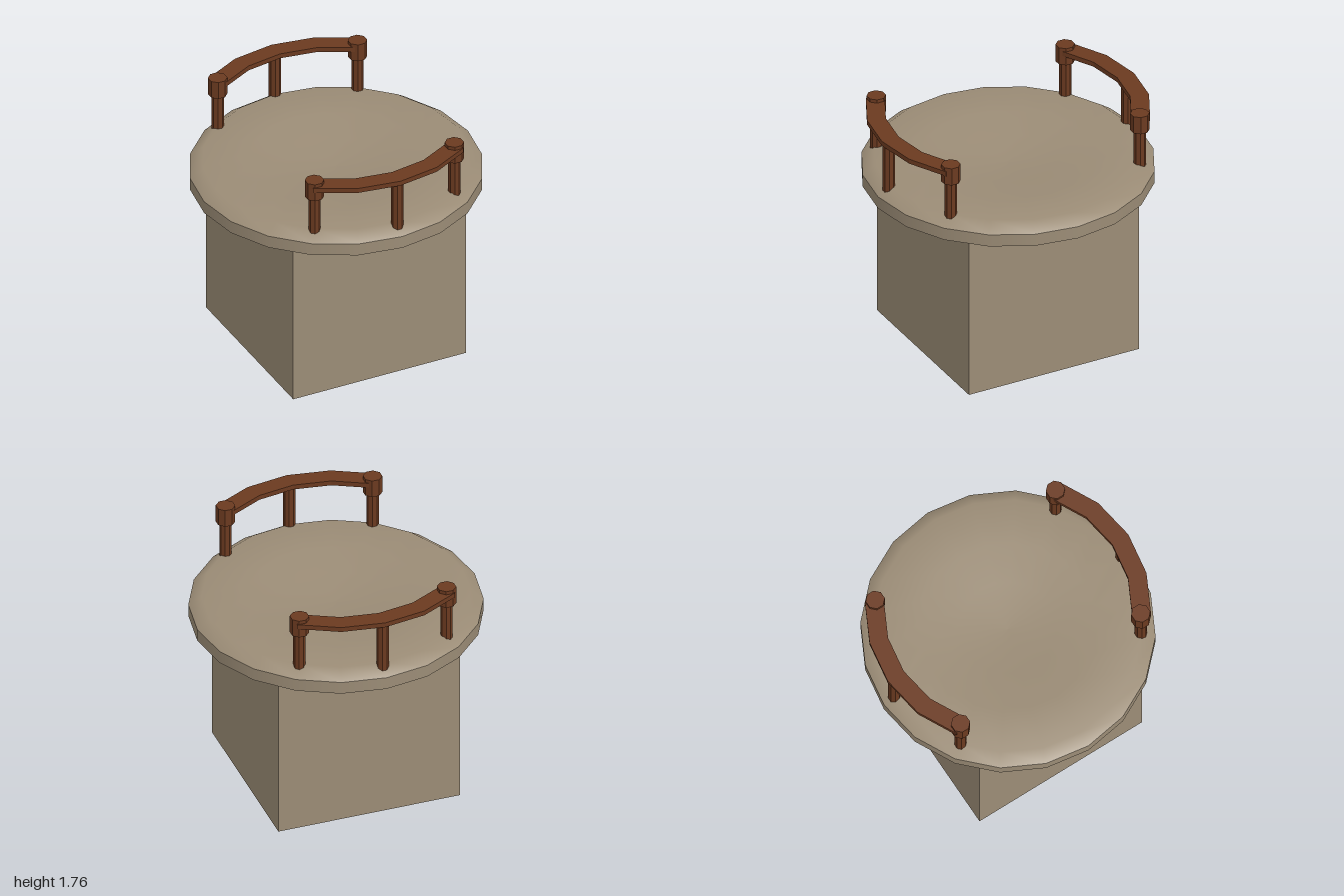
import * as THREE from 'three';

export function createModel() {
  const stone = new THREE.MeshStandardMaterial({ color: 0x9b8c76 });
  stone.name = 'stone';
  const wood = new THREE.MeshStandardMaterial({ color: 0x6b3a20 });
  wood.name = 'wood';

  const model = new THREE.Group();
  model.name = 'railedPlatform';

  const add = (parent, name, geometry, material, x = 0, y = 0, z = 0) => {
    const mesh = new THREE.Mesh(geometry, material);
    mesh.name = name;
    mesh.position.set(x, y, z);
    parent.add(mesh);
    return mesh;
  };
  // Lathe with 20 sides; profile runs from bottom/outside to top/centre
  const lathe = (points) =>
    new THREE.LatheGeometry(points.map(([r, y]) => new THREE.Vector2(r, y)), 20, Math.PI / 2);
  // Faceted prism standing on y0
  const prism = (radius, y0, y1, sides) => {
    const g = new THREE.CylinderGeometry(radius, radius, y1 - y0, sides, 1, false, Math.PI / sides);
    g.translate(0, (y0 + y1) / 2, 0);
    const flat = g.toNonIndexed();
    flat.computeVertexNormals();
    return flat;
  };

  // Square pedestal
  add(model, 'pedestal', new THREE.BoxGeometry(1.31, 1.22, 1.31), stone, 0, 0.61, 0);

  // Round slab: underside, rim wall and dished top, with hard creases between
  add(model, 'slabUnderside', lathe([[0, 1.22], [1, 1.22]]), stone);
  add(model, 'slabRim', lathe([[1, 1.22], [1, 1.31]]), stone);
  add(model, 'slabTop', lathe([
    [1, 1.31], [0.91, 1.375], [0.6, 1.362], [0.33, 1.335], [0.15, 1.317], [0, 1.313],
  ]), stone);

  // Curved handrail: ring sector of four straight segments
  const inner = 0.84, outer = 0.97;
  const angles = [-36, -18, 0, 18, 36].map((a) => THREE.MathUtils.degToRad(a));
  const arc = (r) => angles.map((a) => new THREE.Vector2(r * Math.sin(a), -r * Math.cos(a)));
  const railShape = new THREE.Shape([...arc(outer), ...arc(inner).reverse()]);
  const railGeometry = new THREE.ExtrudeGeometry(railShape, { depth: 0.035, bevelEnabled: false });
  railGeometry.rotateX(-Math.PI / 2);

  const postGeometry = prism(0.042, 1.32, 1.71, 8);
  const capGeometry = prism(0.066, 1.63, 1.76, 8);

  // The same railing at the front and the back
  for (const [name, turn] of [['frontRailing', 0], ['backRailing', Math.PI]]) {
    const railing = new THREE.Group();
    railing.name = name;
    railing.rotation.y = turn;
    add(railing, 'handrail', railGeometry, wood, 0, 1.7, 0);
    add(railing, 'middlePost', postGeometry, wood, 0, 0, 0.917);
    for (const side of [1, -1]) {
      const label = side > 0 ? 'left' : 'right';
      add(railing, label + 'Post', postGeometry, wood, side * 0.53, 0, 0.727);
      add(railing, label + 'PostCap', capGeometry, wood, side * 0.53, 0, 0.727);
    }
    model.add(railing);
  }
  return model;
}
